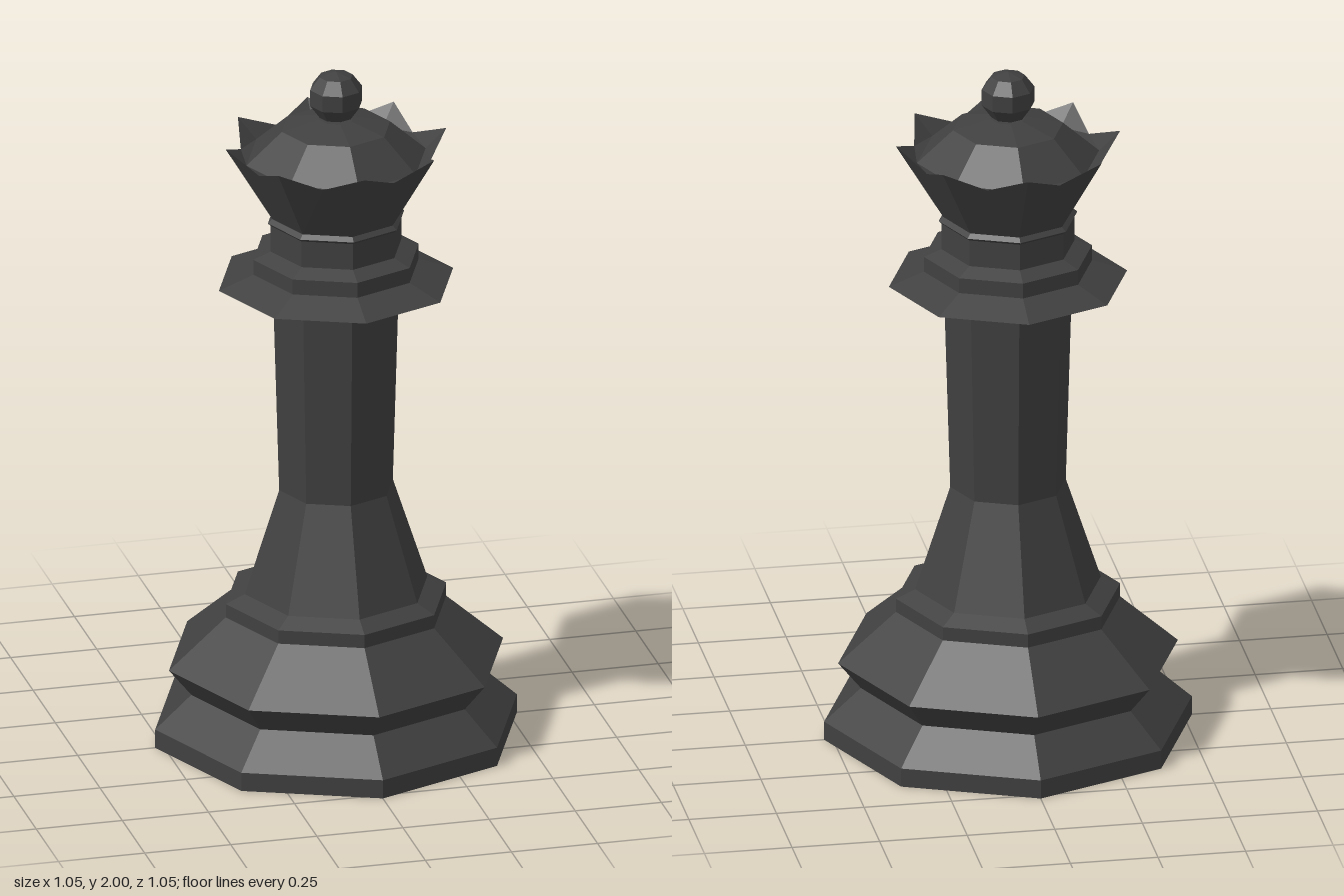
import * as THREE from 'three';

const SIDES = 8;
const material = new THREE.MeshStandardMaterial({ color: 0x404040, flatShading: true });

// Octagonal turned part from [radius, height] pairs, bottom to top
function turned(name, profile) {
  const points = profile.map(([r, y]) => new THREE.Vector2(r, y));
  const mesh = new THREE.Mesh(new THREE.LatheGeometry(points, SIDES), material);
  mesh.name = name;
  return mesh;
}

// Flared coronet: eight points with a notch between each pair
function coronet() {
  const ring = (r, y, offset = 0) => (i) => {
    const a = ((i + offset) / SIDES) * Math.PI * 2;
    return [r * Math.sin(a), y, r * Math.cos(a)];
  };
  const base = ring(0.185, 1.57);
  const tip = ring(0.32, 1.795);
  const notch = ring(0.27, 1.748, 0.5);
  const rim = ring(0.26, 1.74);
  const positions = [];
  const tri = (...corners) => corners.forEach((c) => positions.push(...c));
  for (let i = 0; i < SIDES; i++) {
    const j = i + 1;
    // outer wall
    tri(base(i), base(j), notch(i));
    tri(base(i), notch(i), tip(i));
    tri(base(j), tip(j), notch(i));
    // inner wall down to the dome
    tri(rim(i), tip(i), notch(i));
    tri(rim(i), notch(i), rim(j));
    tri(rim(j), notch(i), tip(j));
  }
  const geometry = new THREE.BufferGeometry();
  geometry.setAttribute('position', new THREE.Float32BufferAttribute(positions, 3));
  geometry.computeVertexNormals();
  const mesh = new THREE.Mesh(geometry, material);
  mesh.name = 'coronet';
  return mesh;
}

export function createModel() {
  const group = new THREE.Group();
  group.name = 'chessQueen';
  group.add(
    turned('base', [
      [0, 0], [0.525, 0], [0.525, 0.055], [0.42, 0.15], [0.485, 0.23],
      [0.32, 0.375], [0.32, 0.415], [0.265, 0.44],
    ]),
    turned('stem', [[0.265, 0.44], [0.165, 0.745], [0.182, 1.32]]),
    turned('collar', [
      [0.182, 1.32], [0.34, 1.368], [0.24, 1.407], [0.24, 1.452], [0.19, 1.472],
    ]),
    turned('neck', [[0.19, 1.472], [0.19, 1.55], [0.198, 1.558], [0.185, 1.57]]),
    coronet(),
    turned('dome', [[0.26, 1.74], [0.157, 1.832], [0.05, 1.858], [0, 1.858]]),
    turned('finial', [
      [0, 1.85], [0.048, 1.864], [0.075, 1.902], [0.075, 1.95], [0.048, 1.986], [0, 2],
    ]),
  );
  return group;
}
